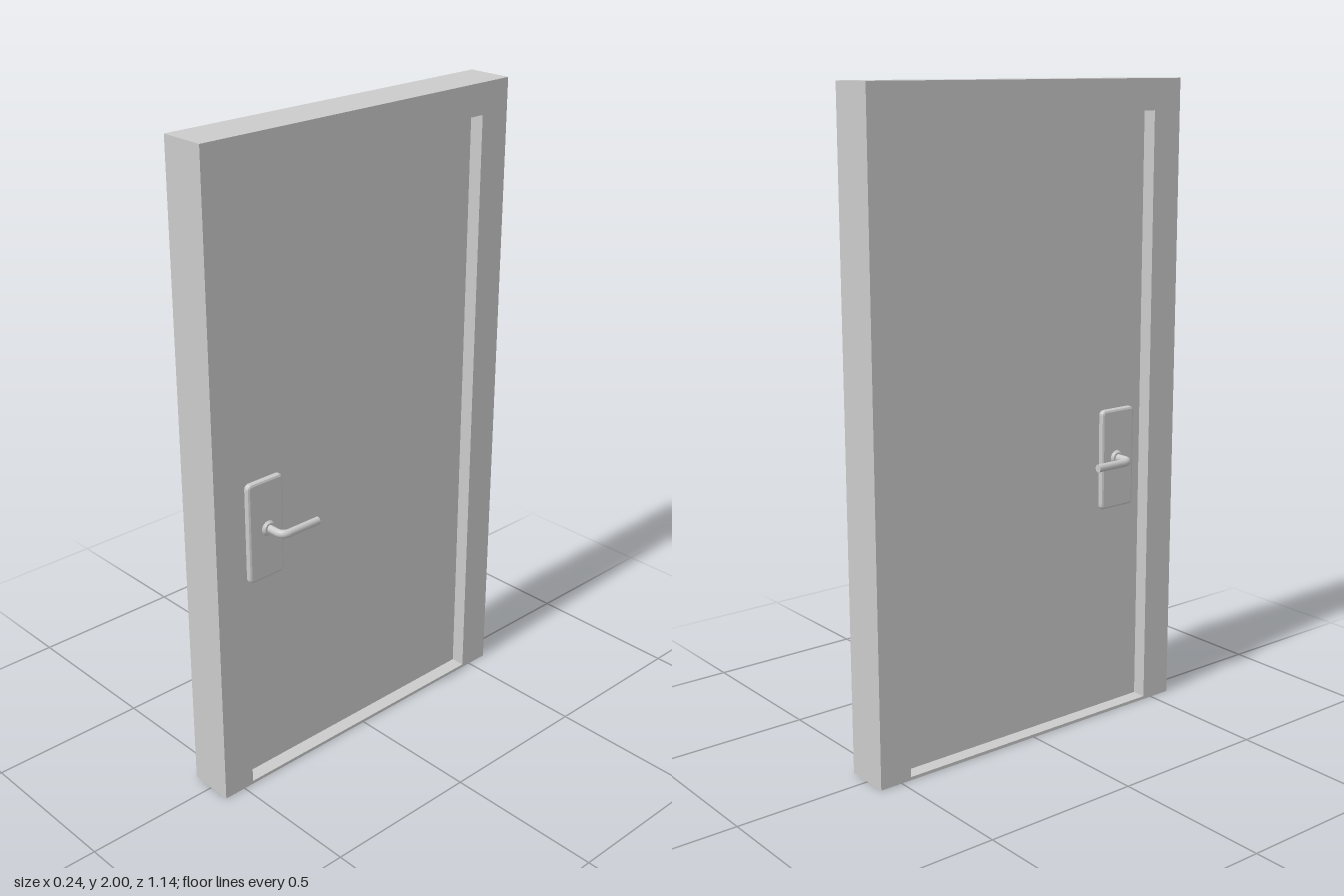
import * as THREE from 'three';

const material = new THREE.MeshStandardMaterial({ color: 0xcccccc });

const W = 0.572, H = 2, DEPTH = 0.144;        // outer half width, height, frame depth
const OPEN = 0.467, OPEN_TOP = 1.905;         // opening half width and top
const SILL = 0.01, SLAB = 0.054;              // sill height, door leaf thickness

function part(name, geometry) {
  const mesh = new THREE.Mesh(geometry, material);
  mesh.name = name;
  return mesh;
}

function box(name, x, y, z, yBottom) {
  const mesh = part(name, new THREE.BoxGeometry(x, y, z));
  mesh.position.y = yBottom + y / 2;
  return mesh;
}

// Frame: jambs and head as one arch, extruded through the wall depth
function frame() {
  const s = new THREE.Shape();
  s.moveTo(-W, 0);
  s.lineTo(-OPEN, 0);
  s.lineTo(-OPEN, OPEN_TOP);
  s.lineTo(OPEN, OPEN_TOP);
  s.lineTo(OPEN, 0);
  s.lineTo(W, 0);
  s.lineTo(W, H);
  s.lineTo(-W, H);
  s.closePath();
  const g = new THREE.ExtrudeGeometry(s, { depth: DEPTH, bevelEnabled: false });
  g.translate(0, 0, -DEPTH / 2).rotateY(Math.PI / 2);
  return part('frame', g);
}

// Backplate with rounded corners and a bevelled front edge, lying in the XY plane
function plateGeometry(w, h, bevel, depth) {
  const r = 0.008, x = w / 2 - bevel, y = h / 2 - bevel;
  const s = new THREE.Shape();
  s.moveTo(-x + r, -y);
  s.lineTo(x - r, -y);
  s.quadraticCurveTo(x, -y, x, -y + r);
  s.lineTo(x, y - r);
  s.quadraticCurveTo(x, y, x - r, y);
  s.lineTo(-x + r, y);
  s.quadraticCurveTo(-x, y, -x, y - r);
  s.lineTo(-x, -y + r);
  s.quadraticCurveTo(-x, -y, -x + r, -y);
  return new THREE.ExtrudeGeometry(s, {
    depth, bevelSize: bevel, bevelThickness: bevel, bevelSegments: 2, curveSegments: 4,
  });
}

// Lever set on one face of the door; side is +1 or -1 along x
function leverSet(side) {
  const group = new THREE.Group();
  group.name = side > 0 ? 'leftHandle' : 'rightHandle';
  const face = SLAB / 2;

  const plate = part('backplate', plateGeometry(0.132, 0.32, 0.008, 0.008));
  plate.rotation.y = side * Math.PI / 2;
  plate.position.set(side * face, 0.832, 0.363);
  group.add(plate);

  // Low collar around the spindle
  const collar = part('collar', new THREE.CylinderGeometry(0.018, 0.024, 0.008, 24));
  collar.rotation.z = -side * Math.PI / 2;
  collar.position.set(side * (face + 0.02), 0.835, 0.357);
  group.add(collar);

  // Lever: out from the door, round the bend, then along it
  const arm = 0.107, stem = 0.357, end = 0.222, bend = 0.028, radius = 0.011;
  const v = (x, z) => new THREE.Vector3(side * x, 0, z);
  const path = new THREE.CurvePath();
  path.add(new THREE.LineCurve3(v(face, stem), v(arm - bend, stem)));
  path.add(new THREE.QuadraticBezierCurve3(v(arm - bend, stem), v(arm, stem), v(arm, stem - bend)));
  path.add(new THREE.LineCurve3(v(arm, stem - bend), v(arm, end)));
  const lever = new THREE.Group();
  lever.name = 'lever';
  lever.add(part('leverBar', new THREE.TubeGeometry(path, 48, radius, 16)));
  const cap = part('leverEnd', new THREE.CircleGeometry(radius, 16));
  cap.rotation.y = Math.PI;
  cap.position.set(side * arm, 0, end);
  lever.add(cap);
  lever.position.y = 0.835;
  lever.scale.y = 1.15;
  group.add(lever);
  return group;
}

export function createModel() {
  const model = new THREE.Group();
  model.name = 'door';
  model.add(
    frame(),
    box('sill', DEPTH, SILL, OPEN * 2, 0),
    box('doorLeaf', SLAB, OPEN_TOP - SILL, OPEN * 2, SILL),
    leverSet(1),
    leverSet(-1),
  );
  return model;
}
